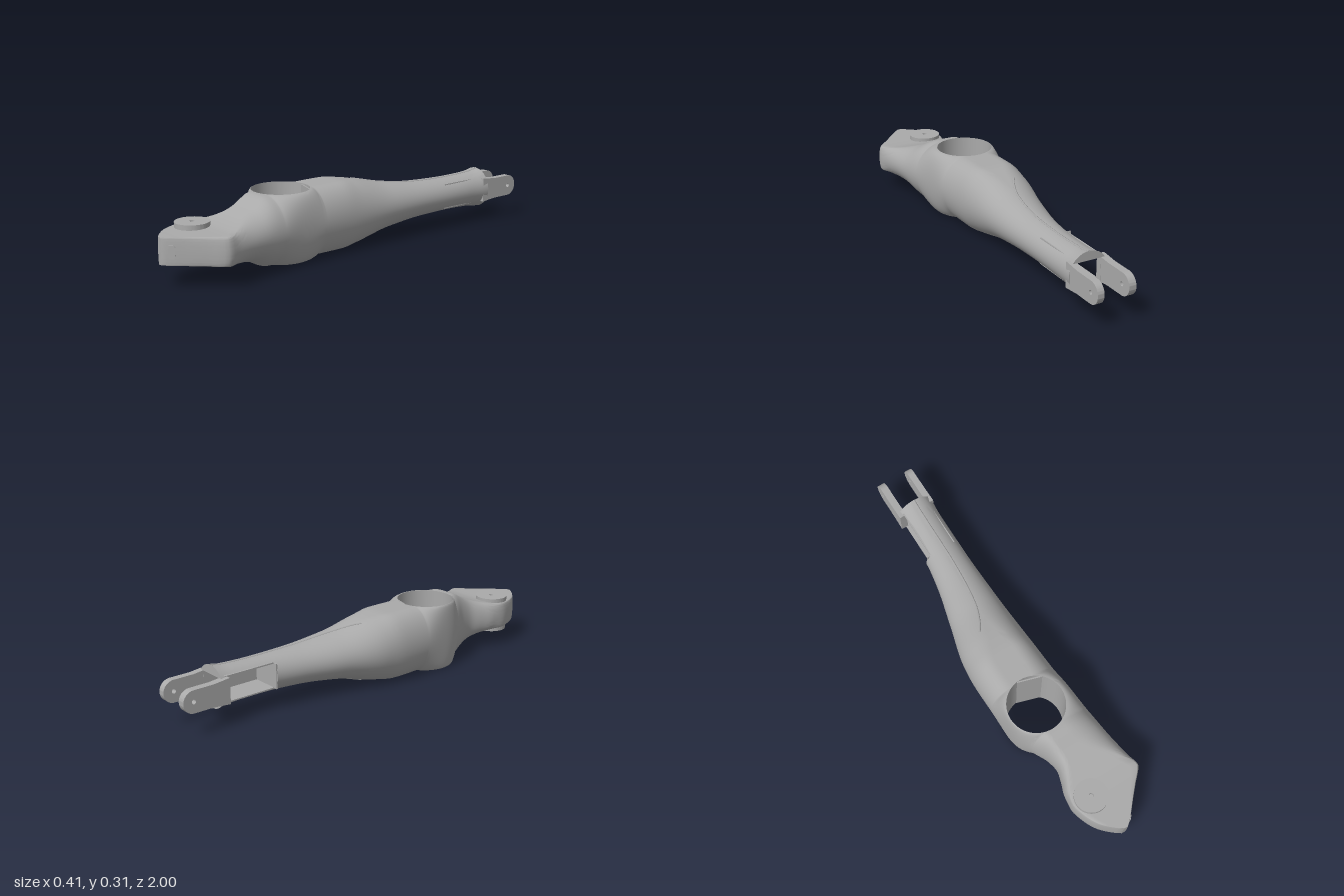
import * as THREE from 'three';
import { mergeVertices, toCreasedNormals } from 'three/addons/utils/BufferGeometryUtils.js';

const MID = 0.155;                       // height of the symmetry plane
const HOLE = { x: -0.05, z: 0.36, r: 0.13 };
const WINDOW = { z0: -0.78, z1: -0.53, h: 0.058 };

// Smooth monotone interpolation through [z, value] points, z descending
function curve(pts) {
  const p = pts.slice().reverse(), n = p.length;
  const s = p.slice(1).map((q, i) => (q[1] - p[i][1]) / (q[0] - p[i][0]));
  const m = p.map((_, i) => i === 0 ? s[0] : i === n - 1 ? s[n - 2]
    : s[i - 1] * s[i] <= 0 ? 0 : 2 * s[i - 1] * s[i] / (s[i - 1] + s[i]));
  return (z) => {
    if (z <= p[0][0]) return p[0][1];
    if (z >= p[n - 1][0]) return p[n - 1][1];
    let i = 0;
    while (z > p[i + 1][0]) i++;
    const d = p[i + 1][0] - p[i][0], t = (z - p[i][0]) / d, a = t * t, b = a * t;
    return (2 * b - 3 * a + 1) * p[i][1] + (b - 2 * a + t) * d * m[i]
      + (3 * a - 2 * b) * p[i + 1][1] + (b - a) * d * m[i + 1];
  };
}

// Plan outline, half height, split line and flat share of the sections
const right = curve([[1, 0.012], [0.985, 0.03], [0.92, 0.091], [0.86, 0.148], [0.81, 0.197], [0.795, 0.205],
  [0.74, 0.195], [0.62, 0.175], [0.49, 0.157], [0.36, 0.14], [0.1, 0.12], [-0.2, 0.103], [-0.5, 0.094], [-0.7, 0.094], [-0.8, 0.1]]);
const left = curve([[1, -0.012], [0.98, -0.04], [0.92, -0.1], [0.86, -0.13], [0.8, -0.145], [0.74, -0.14],
  [0.68, -0.12], [0.62, -0.105], [0.56, -0.115], [0.49, -0.15], [0.42, -0.185], [0.36, -0.196], [0.23, -0.207],
  [0.1, -0.21], [0, -0.203], [-0.2, -0.155], [-0.4, -0.107], [-0.53, -0.088], [-0.7, -0.08], [-0.8, -0.085]]);
const height = curve([[1, 0.058], [0.85, 0.06], [0.77, 0.063], [0.7, 0.076], [0.6, 0.112], [0.5, 0.155], [0.08, 0.155],
  [0, 0.147], [-0.2, 0.107], [-0.4, 0.086], [-0.6, 0.081], [-0.75, 0.086], [-0.8, 0.096]]);
const split = curve([[1, 0], [0.8, 0], [0.5, -0.05], [0.2, -0.05], [-0.3, -0.01], [-0.8, 0.0075]]);
const flat = curve([[1, 0.93], [0.8, 0.94], [0.72, 0.75], [0.6, 0.35], [0.49, 0.25], [0.1, 0.35], [0, 0.2], [-0.2, 0], [-0.8, 0]]);

// Half section: from the top inner edge, round the side, to the bottom inner edge
const FLAT = 6, ARC = 12;
function halfSection(z, side, closed) {
  const c = split(z), w = Math.abs((side > 0 ? right(z) : left(z)) - c), h = closed ? 0 : height(z);
  const dz = z - HOLE.z;
  const inner = Math.sqrt(Math.max(0, HOLE.r ** 2 - dz * dz));
  const f = Math.min(Math.max(flat(z) * w, inner), w - 0.004);
  const top = [];
  for (let i = 0; i < FLAT; i++) top.push([inner + (f - inner) * i / FLAT, h]);
  for (let i = 0; i <= ARC; i++) {
    const a = i / ARC * Math.PI / 2;
    top.push([f + (w - f) * Math.sin(a), i === ARC ? 0 : h * Math.cos(a)]);
  }
  const bottom = top.slice(0, -1).reverse().map(([x, y]) => [x, -y]);
  return top.concat(bottom).map(([x, y]) => [c + side * x, MID + y, z]);
}

function bodyGeometry() {
  const rows = [];
  const span = (a, b, n) => { for (let i = 0; i < n; i++) rows.push(a + (b - a) * i / n); };
  span(1, 0.49, 36);
  for (let i = 0; i < 28; i++) rows.push(HOLE.z + HOLE.r * Math.cos(i / 28 * Math.PI));
  span(0.23, WINDOW.z1, 36);
  span(WINDOW.z1, WINDOW.z0, 10);
  rows.push(WINDOW.z0, -0.8);
  const pos = [], idx = [];
  for (const side of [1, -1]) {
    const base = pos.length / 3;
    const rings = [halfSection(1, side, true), ...rows.map((z) => halfSection(z, side, false))];
    const n = rings[0].length;
    rings.forEach((r) => r.forEach((p) => pos.push(...p)));
    for (let i = 0; i < rings.length - 1; i++) for (let j = 0; j < n - 1; j++) {
      const z = (rings[i][j][2] + rings[i + 1][j][2]) / 2, y = (rings[i][j][1] + rings[i][j + 1][1]) / 2;
      // side window opening
      if (side < 0 && z > WINDOW.z0 && z < WINDOW.z1 && Math.abs(y - MID) < WINDOW.h) continue;
      const a = base + i * n + j, b = a + 1, c = a + n, d = c + 1;
      if (side > 0) idx.push(a, b, c, b, d, c);
      else idx.push(a, c, b, b, c, d);
    }
  }
  const g = new THREE.BufferGeometry();
  g.setAttribute('position', new THREE.Float32BufferAttribute(pos, 3));
  g.setIndex(idx);
  return toCreasedNormals(mergeVertices(g, 1e-5), 0.7);
}

export function createModel() {
  const group = new THREE.Group();
  const grey = new THREE.MeshStandardMaterial({ color: 0xaaaaaa, side: THREE.DoubleSide });
  grey.name = 'plain grey';
  const add = (name, geo, x = 0, y = 0, z = 0) => {
    const m = new THREE.Mesh(geo, grey);
    m.name = name;
    m.position.set(x, y, z);
    group.add(m);
    return m;
  };

  add('armBody', bodyGeometry());

  // Through bore with a flat web at its rear
  add('boreWall', new THREE.CylinderGeometry(HOLE.r, HOLE.r, 0.31, 56, 1, true), HOLE.x, MID, HOLE.z);
  add('boreWeb', new THREE.BoxGeometry(0.13, 0.3, 0.006), -0.005, MID, 0.25).rotation.y = -0.3;

  // Round pivot pads above and below the front plate
  const ring = new THREE.Shape().absarc(0, 0, 0.075, 0, Math.PI * 2);
  ring.holes.push(new THREE.Path().absarc(0, 0, 0.01, 0, Math.PI * 2, true));
  const pad = toCreasedNormals(new THREE.ExtrudeGeometry(ring, { depth: 0.03, bevelEnabled: false, curveSegments: 40 }), 0.6);
  for (const [name, y] of [['upperPivotPad', 0.237], ['lowerPivotPad', 0.102]]) {
    add(name, pad, -0.055, y, 0.81).rotation.x = Math.PI / 2;
  }

  // Small slot plate on the slanted front face
  const slot = new THREE.Shape();
  slot.moveTo(-0.013, -0.029).lineTo(0.006, -0.029).lineTo(0.014, -0.018)
    .lineTo(0.014, 0.018).lineTo(0.006, 0.029).lineTo(-0.013, 0.029);
  add('frontSlot', new THREE.ExtrudeGeometry(slot, { depth: 0.004, bevelEnabled: false }), 0.045, MID, 0.969).rotation.y = 0.81;

  // Rear end face with a rectangular channel opening
  const zEnd = -0.8, w = (right(zEnd) - left(zEnd)) / 2, cx = (right(zEnd) + left(zEnd)) / 2;
  const end = new THREE.Shape().absellipse(cx, 0, w, height(zEnd), 0, Math.PI * 2);
  end.holes.push(new THREE.Path([[-0.05, -0.055], [-0.05, 0.055], [0.065, 0.055], [0.065, -0.055]]
    .map((p) => new THREE.Vector2(...p))));
  add('rearFace', new THREE.ShapeGeometry(end, 32), 0, MID, zEnd);

  // Channel inside the rear end
  for (const s of [1, -1]) add('channelPlate', new THREE.BoxGeometry(0.13, 0.006, 0.27), 0.003, MID + s * 0.057, -0.665);
  add('channelSide', new THREE.BoxGeometry(0.006, 0.114, 0.27), 0.066, MID, -0.665);
  add('channelEnd', new THREE.BoxGeometry(0.145, 0.114, 0.006), -0.008, MID, WINDOW.z1);

  // Fork prongs with rounded ends and pin holes
  const prong = new THREE.Shape();
  prong.moveTo(0.77, -0.058).lineTo(0.85, -0.05).lineTo(0.945, -0.05);
  prong.absarc(0.945, 0, 0.05, -Math.PI / 2, Math.PI / 2);
  prong.lineTo(0.85, 0.05).lineTo(0.77, 0.058);
  prong.holes.push(new THREE.Path().absarc(0.945, 0, 0.01, 0, Math.PI * 2, true));
  for (const [name, x, t] of [['rightProng', -0.085, 0.034], ['leftProng', 0.064, 0.031]]) {
    const g = new THREE.ExtrudeGeometry(prong, { depth: t, bevelEnabled: false, curveSegments: 20 });
    g.rotateY(Math.PI / 2);                // shape x runs to the rear
    add(name, toCreasedNormals(g, 0.6), x, MID, 0);
  }

  // Thin curved rib along the upper and lower faces
  const ribX = curve([[-0.06, -0.08], [-0.1, -0.055], [-0.2, -0.02], [-0.35, 0.0], [-0.5, 0.008], [-0.8, 0.01]]);
  for (const s of [1, -1]) {
    const pts = [];
    for (let i = 0; i <= 24; i++) {
      const z = -0.06 - 0.74 * i / 24, x = ribX(z), c = split(z);
      const half = Math.abs((x > c ? right(z) : left(z)) - c), f = flat(z) * half;
      const u = Math.max(0, Math.abs(x - c) - f) / (half - f);
      pts.push(new THREE.Vector3(x, MID + s * (height(z) * Math.sqrt(1 - u * u) - 0.001), z));
    }
    add(s > 0 ? 'upperRib' : 'lowerRib', new THREE.TubeGeometry(new THREE.CatmullRomCurve3(pts), 60, 0.005, 6));
  }
  return group;
}
